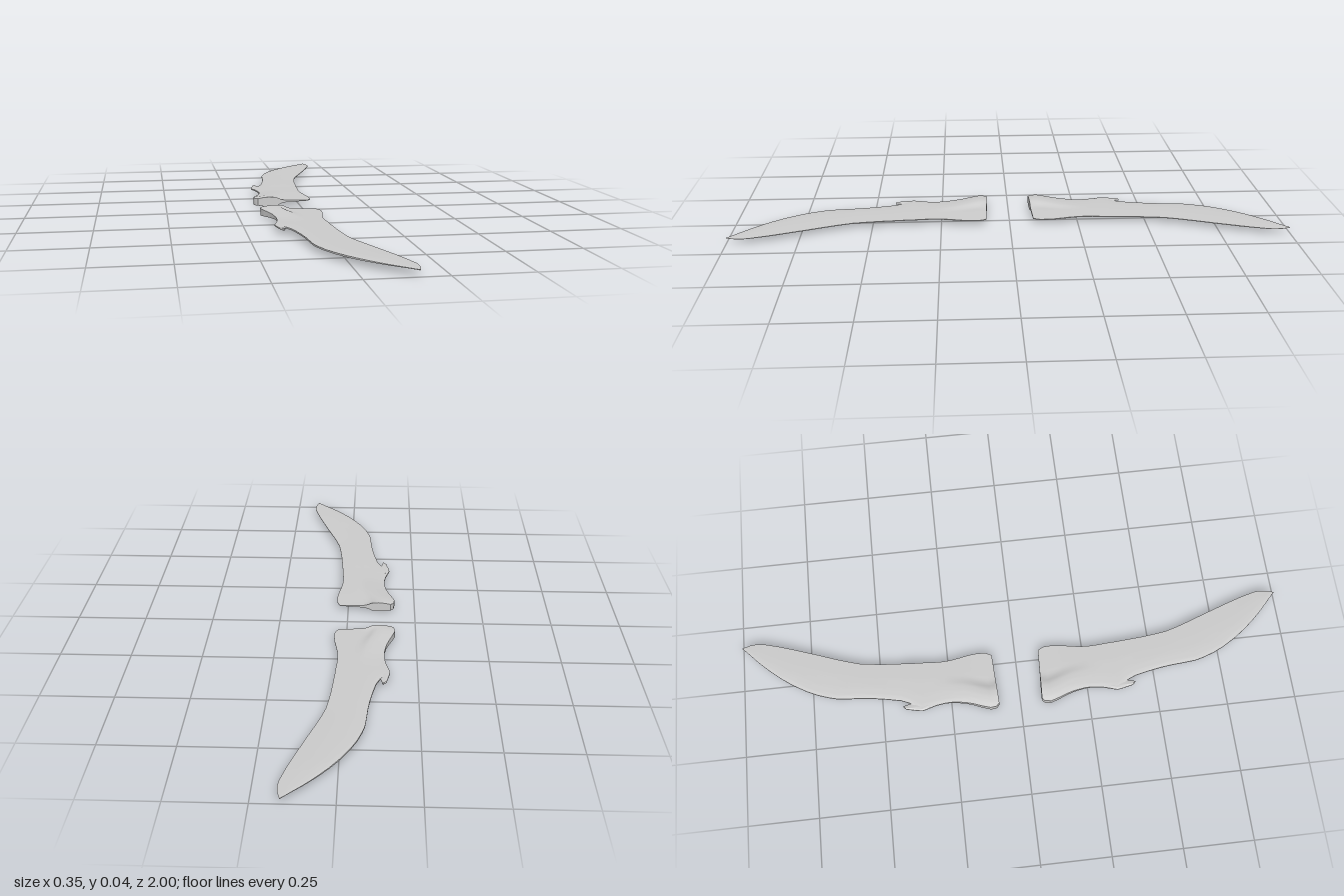
import * as THREE from 'three';
import { toCreasedNormals } from 'three/addons/utils/BufferGeometryUtils.js';

// Blade outline: [z, leading edge x, trailing edge x]
const BLADE = [
  [0.078, -0.160, 0.030], [0.088, -0.171, 0.036], [0.110, -0.174, 0.042], [0.140, -0.164, 0.043],
  [0.170, -0.152, 0.040], [0.200, -0.143, 0.034], [0.240, -0.136, 0.027], [0.270, -0.136, 0.025],
  [0.305, -0.141, 0.026], [0.340, -0.151, 0.029], [0.360, -0.152, 0.030], [0.380, -0.138, 0.031],
  [0.400, -0.122, 0.033], [0.430, -0.109, 0.035], [0.480, -0.098, 0.039], [0.530, -0.089, 0.045],
  [0.570, -0.084, 0.051], [0.620, -0.080, 0.066], [0.660, -0.076, 0.080], [0.690, -0.068, 0.091],
  [0.730, -0.054, 0.106], [0.770, -0.035, 0.120], [0.820, -0.005, 0.138], [0.865, 0.028, 0.153],
  [0.900, 0.058, 0.163], [0.925, 0.081, 0.170], [0.945, 0.101, 0.172], [0.970, 0.128, 0.170],
  [0.990, 0.149, 0.165], [1.000, 0.159, 0.161],
];
const BARB = [
  [0.335, -0.150, -0.110], [0.357, -0.156, -0.115], [0.380, -0.152, -0.118],
  [0.400, -0.147, -0.124], [0.415, -0.144, -0.128], [0.425, -0.134, -0.130],
];
// Half height of the root grip by distance from the leading edge
const GRIP = [[0, 0.013], [0.02, 0.0165], [0.045, 0.0185], [0.07, 0.0165], [0.085, 0.009], [0.1, 0.004], [0.2, 0.001]];
// Half thickness of the plate by fraction of the chord
const PLATE = [[0, 0.0025], [0.08, 0.0042], [0.3, 0.005], [0.6, 0.0042], [1, 0.0012]];

function lookUp(table, t) {
  for (let i = 1; i < table.length; i++) {
    const [a, va] = table[i - 1], [b, vb] = table[i];
    if (t <= b) return va + (vb - va) * Math.max(0, (t - a) / (b - a));
  }
  return table[table.length - 1][1];
}

// Loft lens-shaped sections along z; side = -1 mirrors the part to the back
function loft(rows, side, thin = 1) {
  const N = 20, ring = 2 * (N + 1), pos = [], index = [];
  for (const [z, left, right] of rows) {
    const top = [], bottom = [];
    for (let j = 0; j <= N; j++) {
      const s = (j / N) ** 1.2;
      const x = left + (right - left) * s;
      const fade = THREE.MathUtils.clamp((0.28 - z) / 0.17, 0, 1);
      const tip = THREE.MathUtils.clamp((1.05 - z) / 0.2, 0.3, 1);
      const plate = lookUp(PLATE, s) * tip * thin;
      const half = Math.max(plate, THREE.MathUtils.lerp(plate, lookUp(GRIP, x - left), fade));
      const mid = 0.0205 - 0.002 * fade;
      const zz = z + (z < 0.1 ? 0.008 * s : 0);
      top.push([x, mid + half, zz * side]);
      bottom.unshift([x, mid - half, zz * side]);
    }
    pos.push(...top.flat(), ...bottom.flat());
  }
  const quad = (a, b, c, d) => (side > 0 ? index.push(a, b, c, a, c, d) : index.push(a, c, b, a, d, c));
  for (let r = 0; r < rows.length - 1; r++) {
    for (let j = 0; j < ring; j++) {
      const k = (j + 1) % ring, p = r * ring, q = p + ring;
      quad(p + j, q + j, q + k, p + k);
    }
  }
  // End caps
  const e = (rows.length - 1) * ring;
  for (let j = 0; j < N; j++) {
    const t = j + 1, b0 = ring - 1 - j, b1 = b0 - 1;
    quad(j, t, b1, b0);
    quad(e + j, e + b0, e + b1, e + t);
  }
  const geo = new THREE.BufferGeometry();
  geo.setAttribute('position', new THREE.Float32BufferAttribute(pos, 3));
  geo.setIndex(index);
  return toCreasedNormals(geo, 0.7);
}

export function createModel() {
  const model = new THREE.Group();
  model.name = 'bladePair';
  const material = new THREE.MeshStandardMaterial({ color: 0xcccccc });

  for (const [name, side] of [['frontBlade', 1], ['backBlade', -1]]) {
    const group = new THREE.Group();
    group.name = name;
    const blade = new THREE.Mesh(loft(BLADE, side), material);
    blade.name = 'blade';
    // Small hook on the leading edge
    const barb = new THREE.Mesh(loft(BARB, side, 0.8), material);
    barb.name = 'barb';
    group.add(blade, barb);
    model.add(group);
  }
  return model;
}
